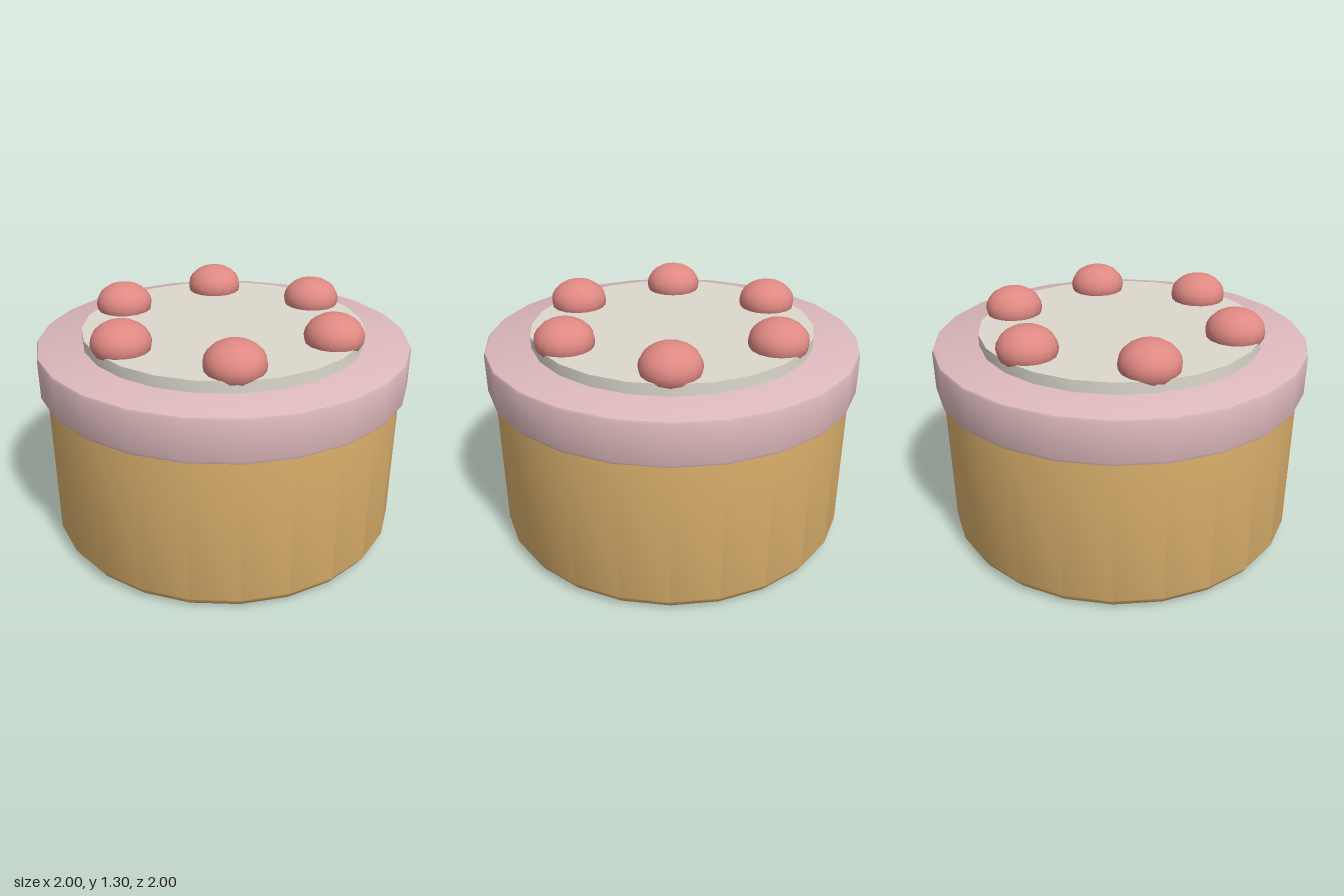
import * as THREE from 'three';
import { toCreasedNormals } from 'three/addons/utils/BufferGeometryUtils.js';

const material = (name, color) => {
  const m = new THREE.MeshStandardMaterial({ color });
  m.name = name;
  return m;
};

export function createModel() {
  const sponge = material('golden sponge', 0xdcb16d);
  const pink = material('pink icing', 0xdcb8bb);
  const cream = material('cream', 0xdcd8cc);
  const red = material('cherry red', 0xe08983);

  const group = new THREE.Group();
  group.name = 'cake';

  // Round layers are turned from a profile listed bottom to top
  const layer = (name, mat, profile) => {
    const points = profile.map(([r, y]) => new THREE.Vector2(r, y));
    const geometry = toCreasedNormals(new THREE.LatheGeometry(points, 24), 0.6);
    const mesh = new THREE.Mesh(geometry, mat);
    mesh.name = name;
    group.add(mesh);
  };

  // Cake body with rounded lower edge
  layer('cakeBody', sponge, [[0, 0], [0.9, 0], [0.94, 0.02], [0.965, 0.06], [0.965, 0.87], [0, 0.87]]);

  // Overhanging icing band with small bevels
  layer('icingBand', pink, [
    [0, 0.85], [0.985, 0.85], [0.995, 0.855], [1, 0.868],
    [1, 1.07], [0.995, 1.082], [0.985, 1.087], [0, 1.087],
  ]);

  // Cream disc on top
  layer('creamDisc', cream, [[0, 1.07], [0.757, 1.07], [0.757, 1.148], [0, 1.148]]);

  // Ring of six flattened cherries
  const cherryGeometry = new THREE.SphereGeometry(0.155, 16, 12);
  cherryGeometry.scale(1, 0.75, 1);
  for (let i = 0; i < 6; i++) {
    const angle = (i * Math.PI) / 3;
    const cherry = new THREE.Mesh(cherryGeometry, red);
    cherry.name = `cherry${i + 1}`;
    cherry.position.set(0.62 * Math.cos(angle), 1.179, 0.62 * Math.sin(angle));
    group.add(cherry);
  }

  return group;
}
